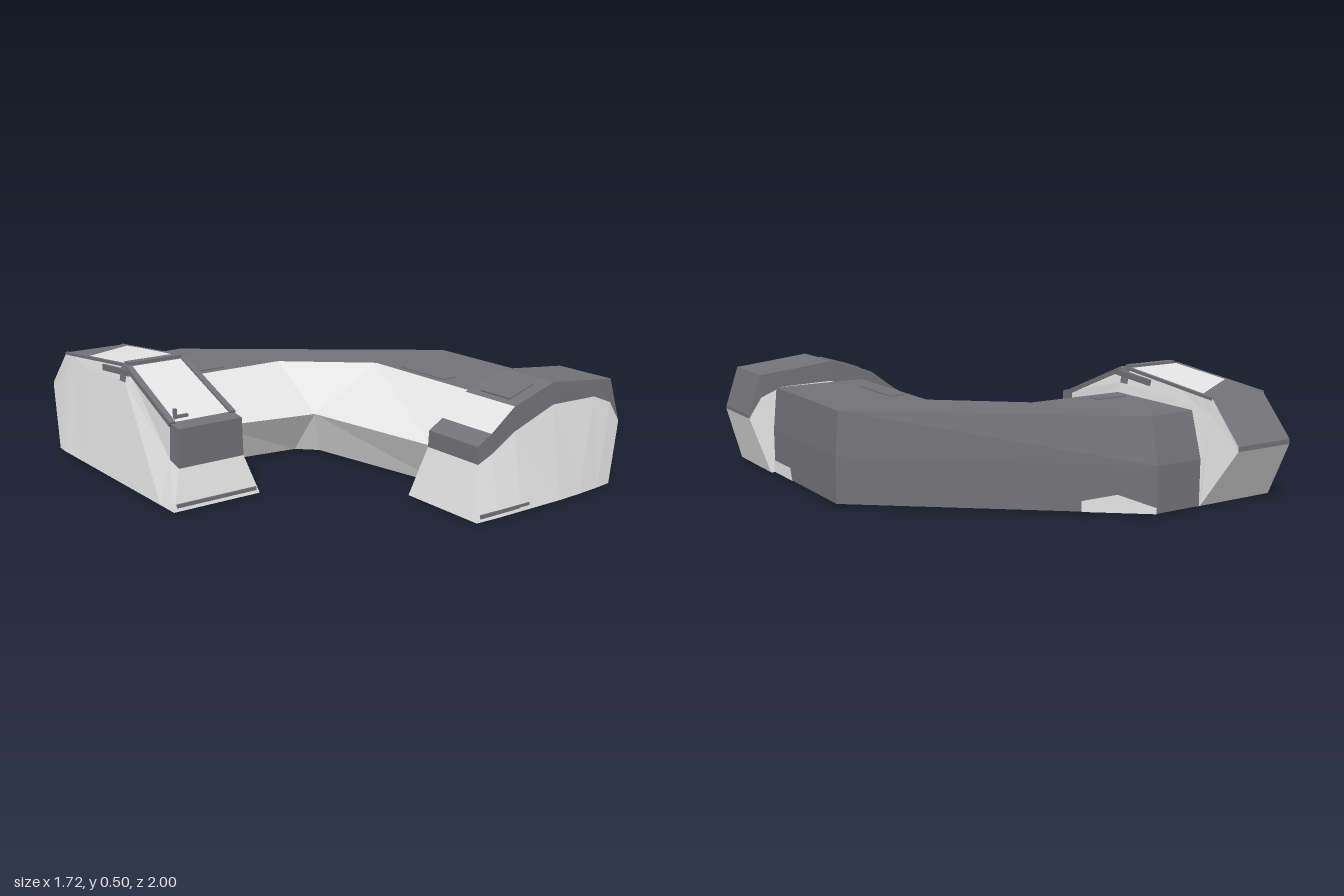
import * as THREE from 'three';

const darkGrey = new THREE.MeshStandardMaterial({ color: 0x737277 });
darkGrey.name = 'darkGrey';
const lightGrey = new THREE.MeshStandardMaterial({ color: 0xe4e4e4 });
lightGrey.name = 'lightGrey';
const palette = [darkGrey, lightGrey];
const D = 0, L = 1;

// Flat-faced mesh from a list of [colour, corner, corner, corner, ...]
function facesMesh(name, faces) {
  const pos = [];
  const geo = new THREE.BufferGeometry();
  for (const colour of [D, L]) {
    const start = pos.length / 3;
    for (const [c, ...p] of faces) {
      if (c !== colour) continue;
      for (let i = 1; i < p.length - 1; i++) pos.push(...p[0], ...p[i], ...p[i + 1]);
    }
    geo.addGroup(start, pos.length / 3 - start, colour);
  }
  geo.setAttribute('position', new THREE.Float32BufferAttribute(pos, 3));
  geo.computeVertexNormals();
  const mesh = new THREE.Mesh(geo, palette);
  mesh.name = name;
  return mesh;
}

// Skin between cross-section rings; coloursOf(ring, side) gives one colour per triangle
function skin(rings, coloursOf) {
  const faces = [], n = rings[0].length;
  for (let i = 0; i < rings.length - 1; i++) {
    for (let j = 0; j < n; j++) {
      const k = (j + 1) % n, [c1, c2] = coloursOf(i, j);
      faces.push([c1, rings[i][j], rings[i][k], rings[i + 1][k]]);
      faces.push([c2, rings[i][j], rings[i + 1][k], rings[i + 1][j]]);
    }
  }
  return faces;
}

function box(name, material, size, at) {
  const mesh = new THREE.Mesh(new THREE.BoxGeometry(...size), material);
  mesh.name = name;
  mesh.position.set(...at);
  return mesh;
}

// Box beam stretched between two points
function beam(name, material, a, b, w, h) {
  const from = new THREE.Vector3(...a), to = new THREE.Vector3(...b);
  const mesh = box(name, material, [w, h, from.distanceTo(to)], [0, 0, 0]);
  mesh.position.copy(from).add(to).multiplyScalar(0.5);
  mesh.lookAt(to);
  return mesh;
}

// Pod with its nose to +z. Station: z at bottom, z above, belt height, top height,
// half widths at bottom, belt and top
function pod(name, stations, topColours, sideColours, darkCorner) {
  const rings = stations.map(([zb, zt, ym, yt, wb, wm, wt]) => [
    [-wb, 0, zb], [-wm, ym, zt], [-wt, yt, zt], [wt, yt, zt], [wm, ym, zt], [wb, 0, zb],
  ]);
  const faces = skin(rings, (i, j) =>
    j === 2 ? topColours[i] : j === 1 || j === 3 ? sideColours[i] : [L, L]);
  const f = rings[0], r = rings[rings.length - 1];
  faces.push([L, f[0], f[5], f[4], f[1]], [D, f[1], f[4], f[3], f[2]]);
  faces.push([L, r[0], r[1], r[4], r[5]], [D, r[1], r[2], r[3], r[4]]);
  // dark corner on the underside of the nose
  const [w, , z] = f[5];
  faces.push([D, [-w, -0.003, z], [darkCorner * w, -0.003, z - 0.35], [w, -0.003, z]]);
  const group = new THREE.Group();
  group.name = name;
  group.add(facesMesh(name + 'Hull', faces));
  return group;
}

function createBody() {
  // each station: outer foot, outer top, inner edge, inner ridge, inner foot (x, z)
  const stations = [
    [[-0.46, -0.85], [-0.46, -0.79], [-0.46, -0.31], [-0.46, -0.13], [-0.46, -0.24]],
    [[-0.24, -0.85], [-0.24, -0.80], [-0.01, -0.31], [0, -0.04], [-0.01, -0.18]],
    [[0.765, -0.04], [0.75, -0.04], [0.33, -0.02], [0, -0.04], [0.07, -0.10]],
    [[0.765, 0.60], [0.75, 0.59], [0.33, 0.59], [0.10, 0.62], [0.20, 0.60]],
  ];
  const rings = stations.map(([o, t, i, m, b]) => [
    [o[0], 0.005, o[1]], [o[0], 0.2, o[1]], [t[0], 0.39, t[1]],
    [i[0], 0.39, i[1]], [m[0], 0.2, m[1]], [b[0], 0.005, b[1]],
  ]);
  const faces = skin(rings, (i, j) => (j < 3 ? [D, D] : [L, L]));
  faces.push([D, ...[...rings[0]].reverse()], [D, ...rings[3]]);
  // pale patches at the foot of the outer wall
  const e = 0.004;
  faces.push([L, [0.765 + e, 0.005, 0.60], [0.765 + e, 0.005, 0.40], [0.765 + e, 0.06, 0.42], [0.765 + e, 0.06, 0.60]]);
  faces.push([L, [-0.24 + e, 0.005, -0.85 - e], [-0.24 + e, 0.03, -0.85 - e],
    [-0.12 + e, 0.08, -0.753 - e], [-0.01 + e, 0.05, -0.664 - e], [-0.01 + e, 0.005, -0.664 - e]]);
  const group = new THREE.Group();
  group.name = 'body';
  group.add(facesMesh('bentBody', faces));
  group.add(box('rearHatch', darkGrey, [0.15, 0.008, 0.065], [-0.35, 0.391, -0.38]));
  group.add(box('sideHatch', darkGrey, [0.07, 0.008, 0.28], [0.395, 0.391, 0.26]));
  return group;
}

function createLongPod() {
  const dark = [D, D], light = [L, L];
  const group = pod('longPod', [
    [0.21, 0.17, 0.16, 0.32, 0.20, 0.15, 0.145],
    [0.10, 0.10, 0.18, 0.33, 0.20, 0.15, 0.145],
    [-0.26, -0.26, 0.42, 0.485, 0.20, 0.148, 0.135],
    [-0.31, -0.31, 0.42, 0.49, 0.20, 0.148, 0.135],
    [-0.62, -0.62, 0.405, 0.463, 0.20, 0.148, 0.138],
    [-0.78, -0.78, 0.385, 0.447, 0.20, 0.146, 0.14],
    [-0.84, -0.84, 0.37, 0.44, 0.195, 0.145, 0.14],
    [-0.84, -1.00, 0.25, 0.27, 0.185, 0.14, 0.14],
  ], [dark, light, dark, light, [L, D], dark, dark],
  [dark, light, dark, light, light, light, light], -1);
  // window frame, roof bar, fairings and roof rails
  for (const s of [-1, 1]) {
    group.add(beam('windowPillar', darkGrey, [s * 0.139, 0.325, 0.11], [s * 0.13, 0.482, -0.26], 0.026, 0.02));
    group.add(beam('roofRail', darkGrey, [s * 0.134, 0.487, -0.3], [s * 0.138, 0.437, -0.84], 0.014, 0.012));
    group.add(beam('roofFairing', darkGrey, [s * 0.142, 0.465, -0.23], [s * 0.143, 0.447, -0.46], 0.016, 0.026));
  }
  group.add(box('roofBar', darkGrey, [0.25, 0.025, 0.035], [0, 0.487, -0.285]));
  group.add(box('wiper', darkGrey, [0.06, 0.012, 0.012], [-0.085, 0.345, 0.085]));
  group.add(box('wiperArm', darkGrey, [0.012, 0.045, 0.012], [-0.11, 0.355, 0.08]));
  group.add(box('noseSill', darkGrey, [0.37, 0.015, 0.008], [0, 0.022, 0.206]));
  group.position.x = -0.66;
  return group;
}

function createShortPod() {
  const dark = [D, D], light = [L, L];
  const group = pod('shortPod', [
    [-0.01, -0.06, 0.21, 0.28, 0.20, 0.145, 0.14],
    [-0.12, -0.13, 0.24, 0.32, 0.205, 0.145, 0.14],
    [-0.24, -0.25, 0.31, 0.41, 0.205, 0.145, 0.14],
    [-0.46, -0.46, 0.385, 0.475, 0.205, 0.145, 0.14],
    [-0.58, -0.70, 0.38, 0.45, 0.20, 0.145, 0.14],
    [-0.70, -0.80, 0.34, 0.44, 0.19, 0.145, 0.14],
    [-0.78, -0.86, 0.25, 0.265, 0.18, 0.145, 0.14],
  ], [dark, light, dark, dark, dark, dark], Array(6).fill(dark), 1);
  // roof hatch lies on the sloping roof
  group.add(beam('roofHatch', darkGrey, [0, 0.421, -0.28], [0, 0.461, -0.41], 0.16, 0.008));
  group.add(box('sideSill', darkGrey, [0.008, 0.015, 0.26], [0.198, 0.02, -0.16]));
  group.rotation.y = -Math.PI / 2;
  group.position.z = 0.793;
  return group;
}

export function createModel() {
  const model = new THREE.Group();
  model.name = 'bentTwinPodUnit';
  model.add(createBody(), createLongPod(), createShortPod());
  return model;
}
